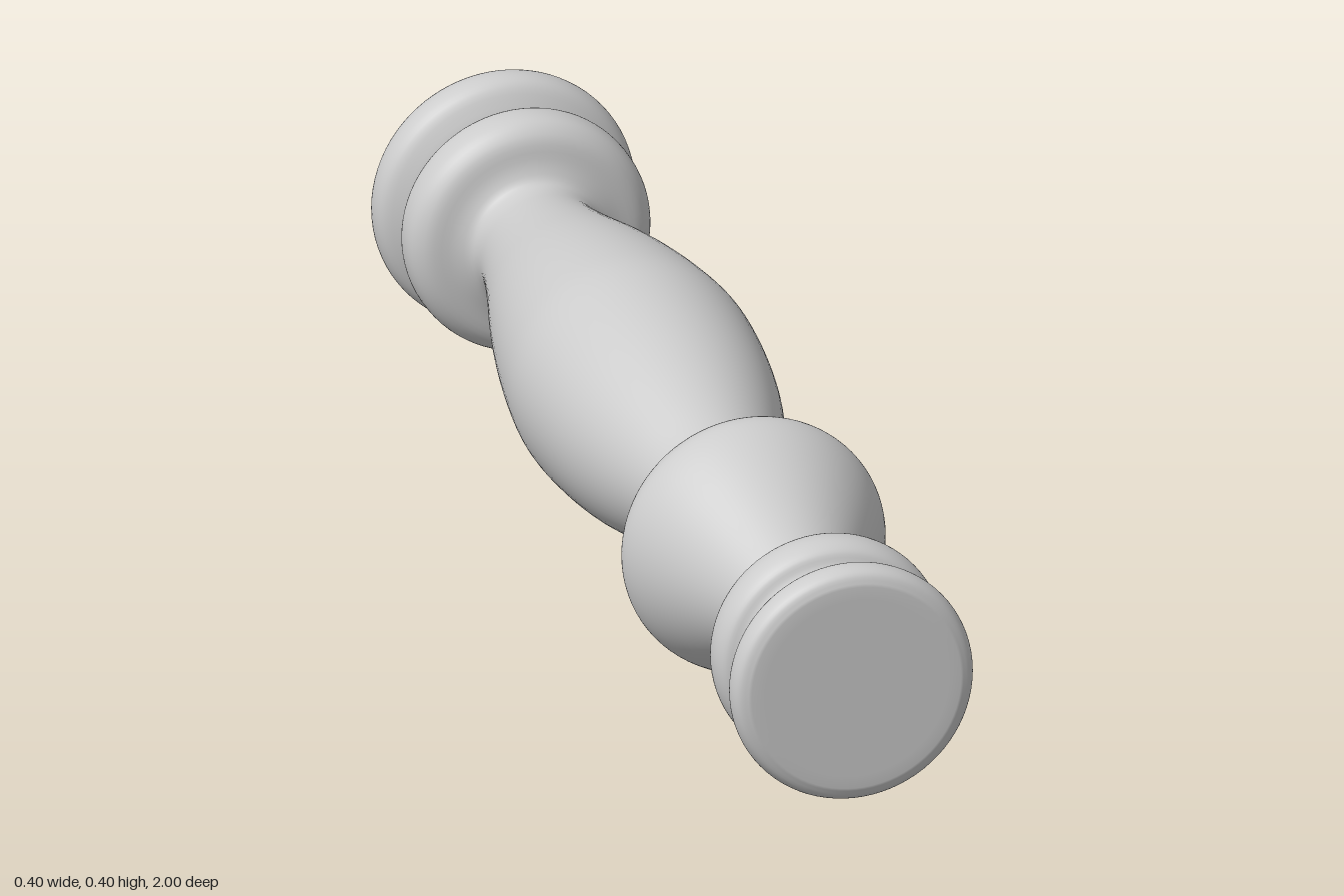
import * as THREE from 'three';

// Turned profile as [radius, z], from the back end to the front end
const profile = [
  // back end ring
  [0.14, -1], [0.175, -0.993], [0.195, -0.972], [0.2, -0.945], [0.192, -0.922], [0.165, -0.905],
  // groove
  [0.14, -0.893], [0.135, -0.885], [0.143, -0.876],
  // second back ring
  [0.168, -0.866], [0.183, -0.85], [0.187, -0.825], [0.182, -0.797], [0.162, -0.778], [0.125, -0.768],
  // long swelling grip
  [0.103, -0.755], [0.098, -0.735], [0.103, -0.69], [0.122, -0.6], [0.146, -0.5], [0.166, -0.4],
  [0.181, -0.3], [0.188, -0.22], [0.183, -0.12], [0.17, -0.02], [0.15, 0.07], [0.127, 0.15],
  [0.109, 0.21], [0.103, 0.245], [0.107, 0.275],
  // bulb
  [0.122, 0.308], [0.15, 0.345], [0.18, 0.38], [0.196, 0.41], [0.2, 0.432], [0.194, 0.46],
  [0.175, 0.505], [0.15, 0.555], [0.125, 0.605], [0.102, 0.655], [0.084, 0.7],
  // narrow neck
  [0.076, 0.737], [0.083, 0.757], [0.108, 0.775],
  // second front ring
  [0.145, 0.789], [0.168, 0.806], [0.176, 0.83], [0.175, 0.855], [0.166, 0.873],
  // groove
  [0.15, 0.882], [0.14, 0.892], [0.139, 0.91], [0.152, 0.926],
  // front end ring
  [0.172, 0.94], [0.183, 0.957], [0.184, 0.977], [0.177, 0.992], [0.16, 1],
];

export function createModel() {
  const model = new THREE.Group();
  model.name = 'turnedSpindle';

  // Smooth curve through the profile, closed by flat ends on the axis
  const curve = new THREE.CatmullRomCurve3(
    profile.map(([r, z]) => new THREE.Vector3(r, z, 0)), false, 'centripetal');
  const outline = curve.getPoints((profile.length - 1) * 4).map(p => new THREE.Vector2(p.x, p.y));
  const points = [
    new THREE.Vector2(0, -1), new THREE.Vector2(0.12, -1),
    ...outline,
    new THREE.Vector2(0.14, 1), new THREE.Vector2(0, 1),
  ];

  // Turn the profile, then lay the axis along z
  const geometry = new THREE.LatheGeometry(points, 80);
  geometry.rotateX(Math.PI / 2);
  const body = new THREE.Mesh(geometry, new THREE.MeshStandardMaterial({ color: 0xcccccc }));
  body.name = 'spindleBody';
  body.position.y = 0.2;
  model.add(body);

  return model;
}
